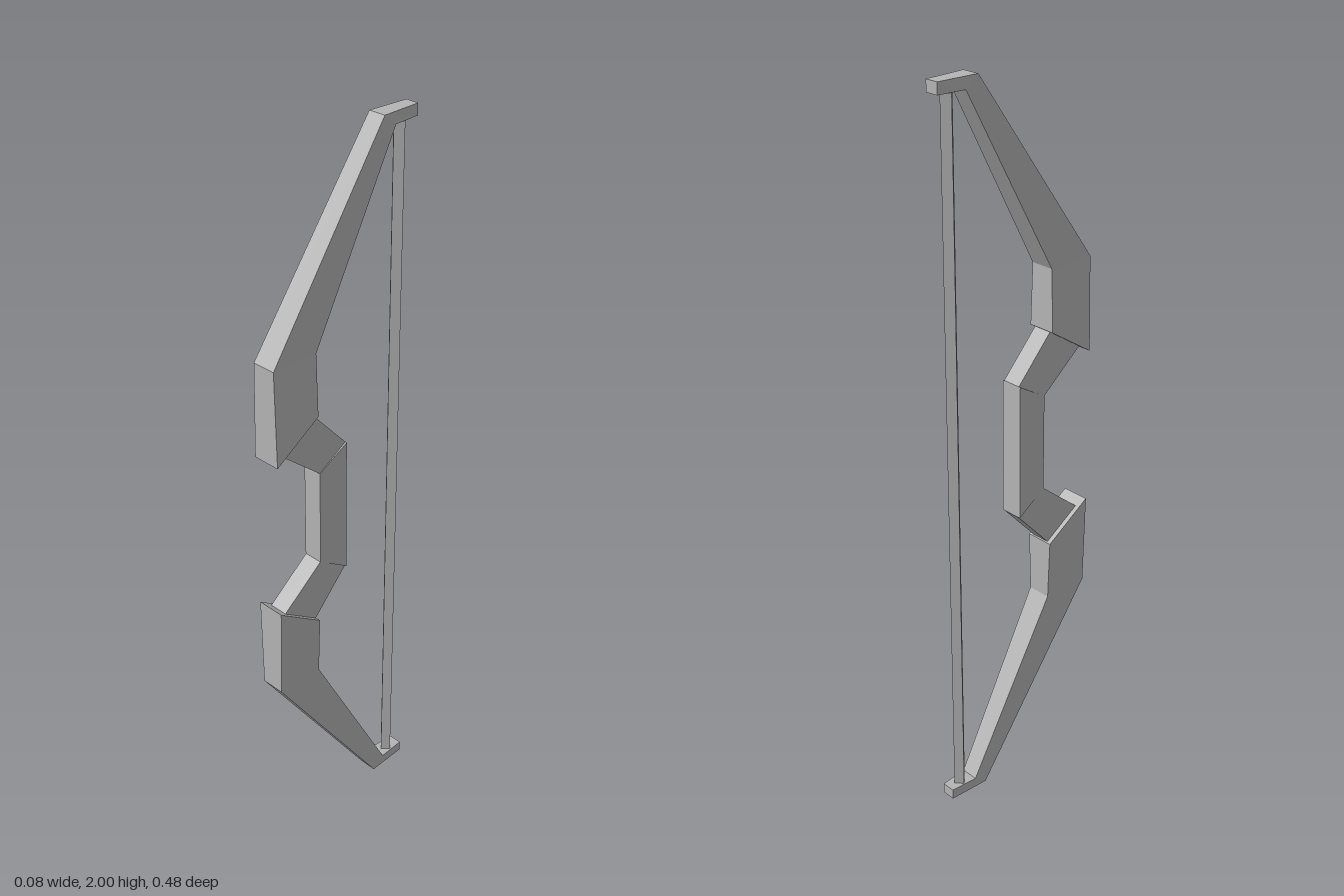
import * as THREE from 'three';

// Lofts four-cornered sections, listed from low to high.
// Section: [frontZ, frontY, backZ, backY, frontHalfWidth, backHalfWidth]
function loft(sections) {
  const pos = [], index = [];
  for (const [fz, fy, bz, by, fw, bw = fw] of sections) {
    pos.push(-fw, fy, fz, fw, fy, fz, bw, by, bz, -bw, by, bz);
  }
  for (let s = 0; s < sections.length - 1; s++) {
    for (let i = 0; i < 4; i++) {
      const a = s * 4 + i, b = s * 4 + (i + 1) % 4;
      index.push(a, b, b + 4, a, b + 4, a + 4);
    }
  }
  const e = (sections.length - 1) * 4;
  index.push(0, 2, 1, 0, 3, 2, e, e + 1, e + 2, e, e + 2, e + 3);
  const indexed = new THREE.BufferGeometry();
  indexed.setAttribute('position', new THREE.Float32BufferAttribute(pos, 3));
  indexed.setIndex(index);
  const geometry = indexed.toNonIndexed();
  geometry.computeVertexNormals();
  return geometry;
}

// Reflects sections about the middle height, keeping them low to high
const mirror = (sections) =>
  sections.map(([fz, fy, bz, by, ...w]) => [fz, 2 - fy, bz, 2 - by, ...w]).reverse();

export function createModel() {
  const bow = new THREE.Group();
  bow.name = 'bow';
  const grey = new THREE.MeshStandardMaterial({ color: 0xb4b4b4 });
  grey.name = 'plain grey';

  const add = (name, geometry) => {
    const mesh = new THREE.Mesh(geometry, grey);
    mesh.name = name;
    bow.add(mesh);
    return mesh;
  };

  // Tapering limb, ending in a backward tip
  const limb = [
    [0.242, 1.22, 0.105, 1.31, 0.04],
    [0.242, 1.48, 0.105, 1.48, 0.034],
    [-0.125, 2.0, -0.163, 1.97, 0.025],
    [-0.242, 2.0, -0.242, 1.97, 0.019],
  ];
  // Slanted piece between grip and limb
  const riser = [
    [0.09, 1.135, 0.0, 1.19, 0.027],
    [0.225, 1.245, 0.115, 1.315, 0.027],
  ];
  add('upperLimb', loft(limb));
  add('lowerLimb', loft(mirror(limb)));
  add('upperRiser', loft(riser));
  add('lowerRiser', loft(mirror(riser)));

  // Grip, slightly wider at its back
  const gripTop = [0.09, 1.135, 0.0, 1.19, 0.028, 0.032];
  add('grip', loft([...mirror([gripTop]), gripTop]));

  // Four-sided string between the tips
  const string = new THREE.CylinderGeometry(0.019, 0.019, 1.94, 4).toNonIndexed();
  string.computeVertexNormals();
  add('string', string).position.set(0, 1, -0.2);

  return bow;
}
